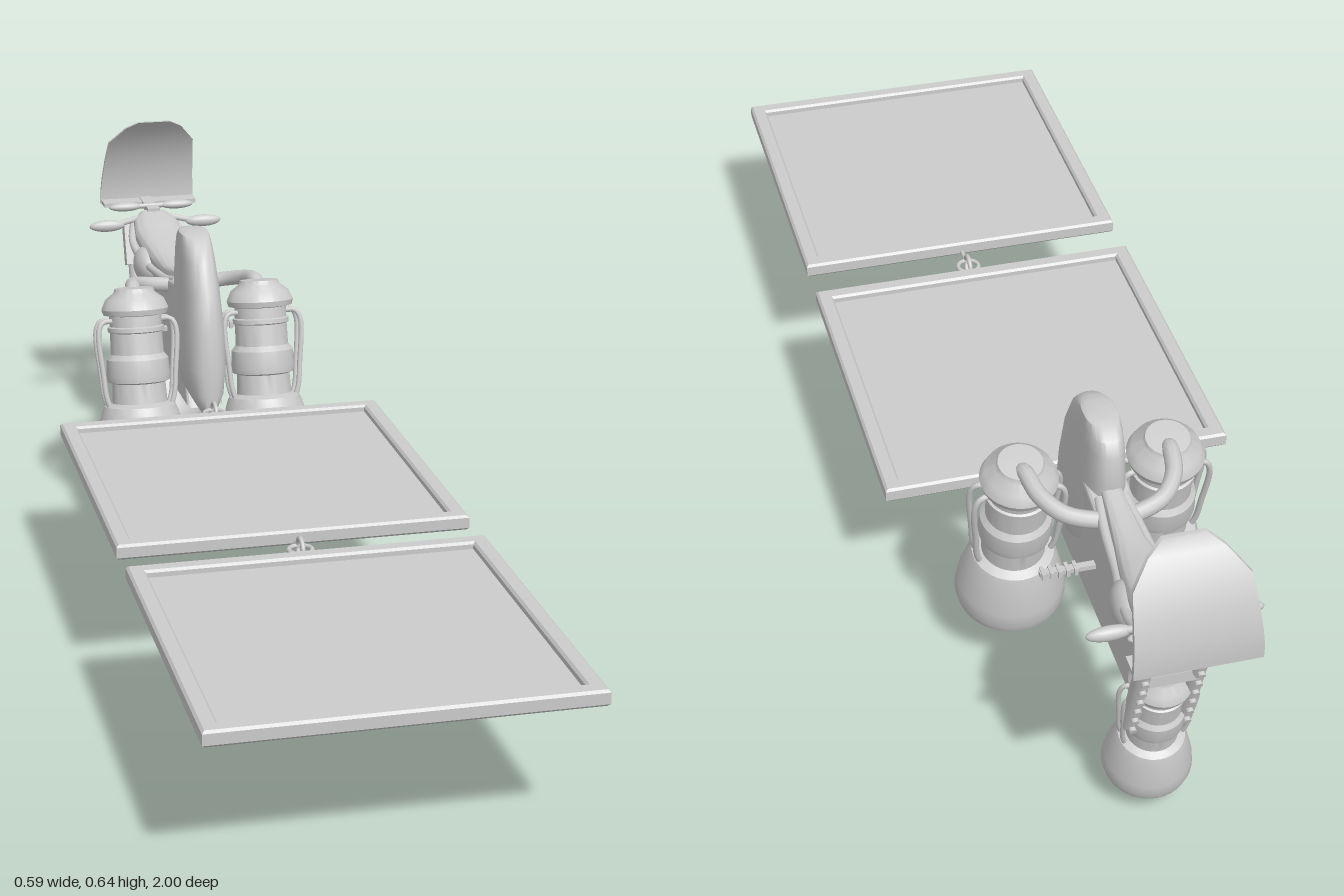
import * as THREE from 'three';
import { toCreasedNormals } from 'three/addons/utils/BufferGeometryUtils.js';

const material = new THREE.MeshStandardMaterial({ color: 0xcccccc });
const V = (x, y, z) => new THREE.Vector3(x, y, z);

function add(parent, name, geometry, x = 0, y = 0, z = 0) {
  const mesh = new THREE.Mesh(geometry, material);
  mesh.name = name;
  mesh.position.set(x, y, z);
  parent.add(mesh);
  return mesh;
}

const tube = (points, radius, segments = 24) =>
  new THREE.TubeGeometry(new THREE.CatmullRomCurve3(points), segments, radius, 10);

// Closed skin over rings of points, each ring counter-clockwise seen from the far end
function loft(rings, crease = 0.7) {
  const n = rings[0].length, last = (rings.length - 1) * n, index = [];
  const centre = ring => ring.reduce((s, p) => s.add(p), V(0, 0, 0)).divideScalar(n);
  const points = [...rings.flat(), centre(rings[0]), centre(rings[rings.length - 1])];
  for (let j = 0; j < n; j++) {
    const k = (j + 1) % n;
    for (let i = 0; i < last; i += n) {
      index.push(i + j, i + k, i + n + k, i + j, i + n + k, i + n + j);
    }
    index.push(last + n, k, j, last + n + 1, last + j, last + k);
  }
  const geometry = new THREE.BufferGeometry().setFromPoints(points);
  geometry.setIndex(index);
  return toCreasedNormals(geometry, crease);
}

// Rounded-square loop of 28 unit points
const loop = Array.from({ length: 28 }, (_, i) => {
  const a = (i / 28) * Math.PI * 2, c = Math.cos(a), s = Math.sin(a);
  return [Math.sign(c) * Math.abs(c) ** 0.75, Math.sign(s) * Math.abs(s) ** 0.75];
});

// Thruster with its nose-cone tip at the origin and its axis along y
function thruster(name) {
  const group = new THREE.Group();
  group.name = name;
  const lathe = pts => toCreasedNormals(
    new THREE.LatheGeometry(pts.map(([r, y]) => new THREE.Vector2(r, y)), 40), 0.6);
  add(group, 'thrusterShell', lathe([
    [0, 0.095], [0.078, 0.095], [0.08, 0.071], [0.087, 0.069], [0.091, 0.085], [0.088, 0.11],
    [0.072, 0.17], [0.067, 0.182], [0.052, 0.188], [0.05, 0.225], [0.058, 0.228], [0.06, 0.24],
    [0.058, 0.27], [0.05, 0.28], [0.049, 0.32], [0.053, 0.322], [0.053, 0.33], [0.049, 0.332],
    [0.049, 0.352], [0.06, 0.354], [0.063, 0.364], [0.055, 0.382], [0.039, 0.394],
    [0.036, 0.402], [0, 0.404]]));
  add(group, 'noseCone', lathe([[0, 0], [0.025, 0.034], [0.045, 0.068], [0.051, 0.084], [0.05, 0.096]]));
  for (let i = 0; i < 36; i++) {
    const a = (i / 36) * Math.PI * 2;
    const blade = add(group, 'fanBlade', new THREE.BoxGeometry(0.032, 0.016, 0.004),
      Math.cos(a) * 0.064, 0.084, -Math.sin(a) * 0.064);
    blade.rotation.y = a;
  }
  // Paired fuel lines on both sides
  for (const side of [0, Math.PI]) for (const d of [-0.22, 0.22]) {
    const line = add(group, 'fuelLine', tube([
      V(0.046, 0.343, 0), V(0.066, 0.342, 0), V(0.075, 0.325, 0),
      V(0.07, 0.24, 0), V(0.066, 0.2, 0), V(0.06, 0.18, 0)], 0.005));
    line.rotation.y = side + d;
  }
  return group;
}

// Flat cargo tray with raised rim
function tray(z) {
  const group = new THREE.Group();
  group.name = 'cargoTray';
  const square = (T, h) => new T([[-h, -h], [h, -h], [h, h], [-h, h]].map(p => new THREE.Vector2(...p)));
  const shape = square(THREE.Shape, 0.291);
  shape.holes.push(square(THREE.Path, 0.271));
  const rim = new THREE.ExtrudeGeometry(shape, {
    depth: 0.018, bevelThickness: 0.004, bevelSize: 0.004, bevelSegments: 1 });
  rim.rotateX(-Math.PI / 2);
  add(group, 'trayRim', rim, 0, 0.229, 0);
  add(group, 'trayFloor', new THREE.BoxGeometry(0.575, 0.014, 0.575), 0, 0.232, 0);
  group.position.z = z;
  return group;
}

// Interlocked tow rings with short drawbars
function hitch(z) {
  const group = new THREE.Group();
  group.name = 'towHitch';
  const ring = new THREE.TorusGeometry(0.019, 0.004, 10, 28);
  add(group, 'flatRing', ring).rotation.x = Math.PI / 2;
  add(group, 'uprightRing', ring).rotation.y = Math.PI / 2;
  for (const s of [-1, 1]) {
    add(group, 'drawbar', new THREE.CylinderGeometry(0.004, 0.004, 0.034, 10), 0, 0, s * 0.034).rotation.x = Math.PI / 2;
  }
  group.position.set(0, 0.231, z);
  return group;
}

export function createModel() {
  const model = new THREE.Group();
  model.add(tray(0.705), tray(0.033), hitch(0.362), hitch(-0.307));

  // Thrusters: two at the front, a smaller one at the back
  for (const s of [-1, 1]) {
    const engine = thruster('frontThruster');
    engine.position.set(s * 0.12, 0.042, -0.377);
    engine.rotation.x = -0.22;
    model.add(engine);
    add(model, 'thrusterArm', tube([
      V(s * 0.12, 0.415, -0.462), V(s * 0.118, 0.428, -0.485), V(s * 0.108, 0.42, -0.535),
      V(s * 0.08, 0.408, -0.572), V(s * 0.04, 0.4, -0.587), V(0, 0.395, -0.59)], 0.014));
  }
  const rear = thruster('rearThruster');
  rear.scale.setScalar(0.78);
  rear.position.set(0, 0, -0.76);
  rear.rotation.x = -0.24;
  model.add(rear);

  // Tall fender: y, front z, back z, half width
  add(model, 'fender', loft([
    [0.2, -0.345, -0.38, 0.003], [0.225, -0.338, -0.44, 0.02], [0.25, -0.337, -0.49, 0.034],
    [0.3, -0.339, -0.54, 0.042], [0.37, -0.345, -0.56, 0.04], [0.44, -0.363, -0.566, 0.035],
    [0.49, -0.392, -0.564, 0.031], [0.515, -0.418, -0.553, 0.029], [0.53, -0.447, -0.53, 0.027],
    [0.533, -0.465, -0.51, 0.022],
  ].map(([y, f, b, w]) => loop.map(([c, s]) => V(c * w, y, (f + b) / 2 - (s * (f - b)) / 2)))));

  // Hull: side outline extruded across x
  const outline = [[0.4, 0.22], [0.81, 0.215], [0.835, 0.27], [0.875, 0.39], [0.8, 0.4],
    [0.68, 0.385], [0.6, 0.4], [0.5, 0.42]].map(p => new THREE.Vector2(...p));
  const hull = new THREE.ExtrudeGeometry(new THREE.Shape(outline), {
    depth: 0.05, bevelThickness: 0.009, bevelSize: 0.008, bevelSegments: 3 });
  hull.translate(0, 0, -0.025).rotateY(Math.PI / 2);
  add(model, 'hull', hull);

  // Seat and tank: z, centre y, half width, half height
  add(model, 'seat', loft([
    [-0.555, 0.425, 0.016, 0.01], [-0.6, 0.412, 0.02, 0.014], [-0.66, 0.403, 0.026, 0.016],
    [-0.72, 0.407, 0.036, 0.02], [-0.78, 0.413, 0.044, 0.024], [-0.84, 0.425, 0.048, 0.024],
    [-0.88, 0.44, 0.044, 0.02], [-0.905, 0.45, 0.03, 0.012],
  ].map(([z, y, w, h]) => loop.map(([c, s]) => V(-c * w, y + s * h, z)))));

  for (const s of [-1, 1]) {
    add(model, 'seatRail', tube([
      V(s * 0.02, 0.415, -0.56), V(s * 0.028, 0.4, -0.62), V(s * 0.034, 0.392, -0.7),
      V(s * 0.048, 0.398, -0.78), V(s * 0.052, 0.415, -0.85), V(s * 0.04, 0.44, -0.9)], 0.008));
    const pod = add(model, 'sidePod', new THREE.SphereGeometry(1, 24, 16), s * 0.038, 0.385, -0.775);
    pod.scale.set(0.026, 0.036, 0.048);

    // Foot peg with cross treads
    add(model, 'footPeg', new THREE.BoxGeometry(0.09, 0.008, 0.012), s * 0.078, 0.31, -0.59);
    for (let i = 0; i < 5; i++) {
      add(model, 'pegTread', new THREE.BoxGeometry(0.006, 0.012, 0.022), s * (0.066 + i * 0.013), 0.31, -0.59);
    }

    // Fork leg with studs, leaning back
    const leg = new THREE.Group();
    leg.name = 'forkLeg';
    leg.position.set(s * 0.043, 0.305, -0.858);
    leg.rotation.x = -0.35;
    add(leg, 'legTube', new THREE.CapsuleGeometry(0.014, 0.25, 6, 16));
    add(leg, 'upperSleeve', new THREE.BoxGeometry(0.038, 0.09, 0.026), 0, 0.1, 0);
    for (let i = 0; i < 9; i++) {
      add(leg, 'legStud', new THREE.CylinderGeometry(0.006, 0.006, 0.012, 10), 0, -0.12 + i * 0.03, -0.014).rotation.x = Math.PI / 2;
    }
    model.add(leg);

    // Handlebar grip and windshield rest
    add(model, 'handleArm', tube([V(0, 0.452, -0.9), V(s * 0.04, 0.448, -0.89), V(s * 0.08, 0.441, -0.88)], 0.006, 12));
    add(model, 'handleGrip', new THREE.SphereGeometry(1, 20, 12), s * 0.099, 0.44, -0.88).scale.set(0.036, 0.012, 0.011);
    add(model, 'frontRest', new THREE.SphereGeometry(1, 20, 12), s * 0.053, 0.465, -0.925).scale.set(0.034, 0.009, 0.011);
  }
  for (const [y, z] of [[0.19, -0.816], [0.32, -0.864], [0.42, -0.9]]) {
    add(model, 'forkBrace', new THREE.BoxGeometry(0.09, 0.02, 0.022), 0, y, z);
  }
  add(model, 'restBar', new THREE.CylinderGeometry(0.005, 0.005, 0.1, 10), 0, 0.465, -0.925).rotation.z = Math.PI / 2;
  add(model, 'windshieldBracket', new THREE.BoxGeometry(0.025, 0.012, 0.1), 0, 0.461, -0.943);

  // Curved windshield: y, z, left x, right x
  add(model, 'windshield', loft([
    [0.456, -0.995, -0.092, 0.1], [0.478, -0.996, -0.092, 0.1], [0.51, -0.993, -0.089, 0.099],
    [0.55, -0.983, -0.084, 0.098], [0.59, -0.964, -0.079, 0.095], [0.625, -0.938, -0.048, 0.066],
    [0.64, -0.92, -0.025, 0.04],
  ].map(([y, z, l, r]) => [V(r, y, z + 0.004), V(r, y, z - 0.004), V(l, y, z - 0.004), V(l, y, z + 0.004)])));
  add(model, 'windshieldFoot', new THREE.BoxGeometry(0.19, 0.008, 0.04), 0.004, 0.461, -0.977);

  return model;
}
